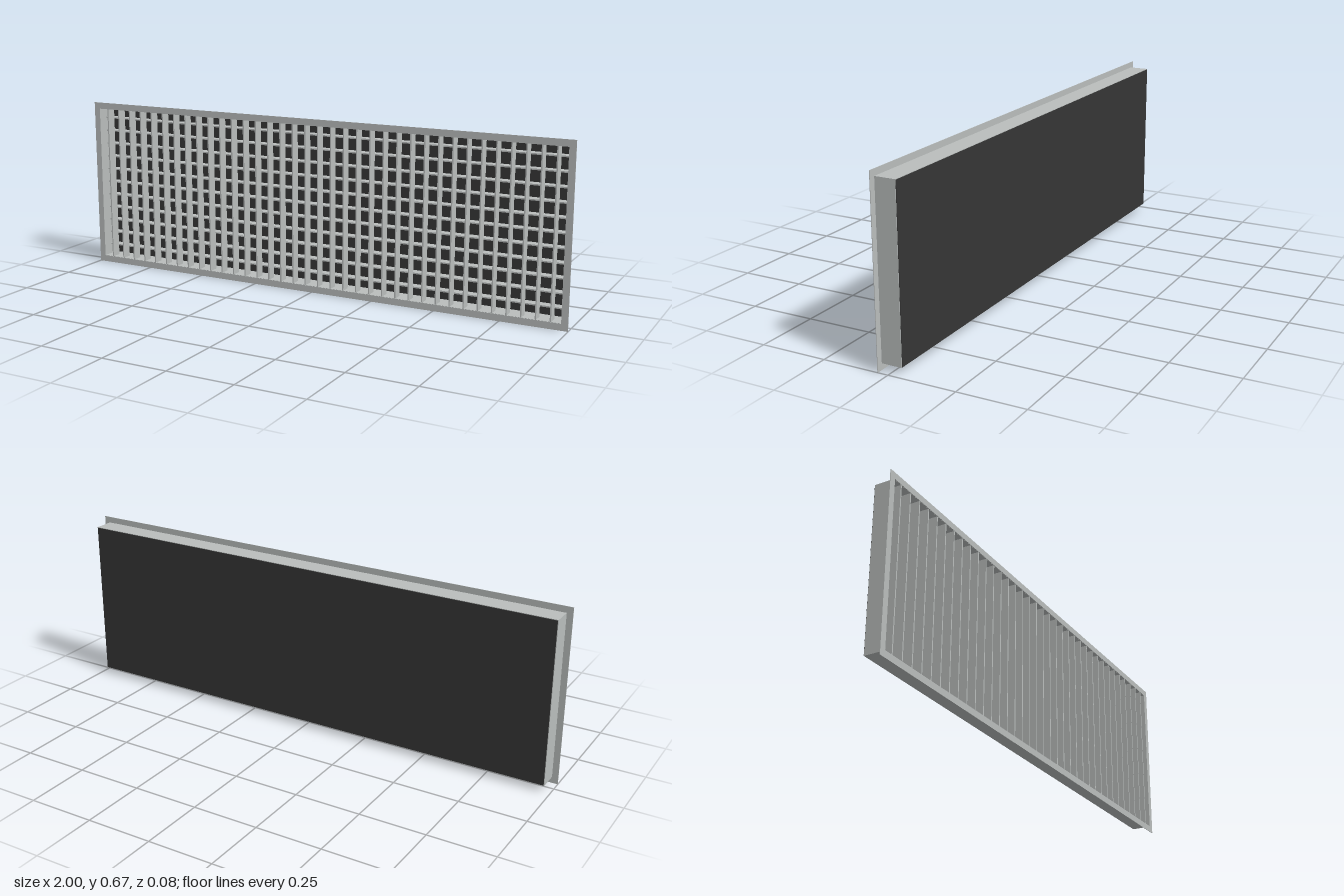
import * as THREE from 'three';

const grey = new THREE.MeshStandardMaterial({ color: 0xbabebd });
grey.name = 'brushed grey';
const dark = new THREE.MeshStandardMaterial({ color: 0x363636 });
dark.name = 'dark backing';

const MID = 0.3335; // height of the centre line
const PITCH = 0.0535; // spacing of the blades
const BLADE = 0.005; // blade thickness

function rect(Type, w, h) {
  const x = w / 2, y = h / 2;
  return new Type([
    new THREE.Vector2(-x, -y), new THREE.Vector2(x, -y),
    new THREE.Vector2(x, y), new THREE.Vector2(-x, y),
  ]);
}

// Rectangular ring extruded from z0 to z1
function ring(name, w, h, innerW, innerH, z0, z1) {
  const shape = rect(THREE.Shape, w, h);
  shape.holes.push(rect(THREE.Path, innerW, innerH));
  const geo = new THREE.ExtrudeGeometry(shape, { depth: z1 - z0, bevelEnabled: false });
  const mesh = new THREE.Mesh(geo, grey);
  mesh.name = name;
  mesh.position.set(0, MID, z0);
  return mesh;
}

function box(name, w, h, d, x, y, z, material) {
  const mesh = new THREE.Mesh(new THREE.BoxGeometry(w, h, d), material);
  mesh.name = name;
  mesh.position.set(x, y, z);
  return mesh;
}

export function createModel() {
  const model = new THREE.Group();
  model.name = 'ventilationGrille';

  // Front flange and the duct collar behind it
  model.add(ring('flange', 2, 0.667, 1.95, 0.617, 0.038, 0.04));
  model.add(ring('collar', 1.954, 0.62, 1.95, 0.616, -0.038, 0.038));

  // Dark plate closing the back
  model.add(box('backPlate', 1.95, 0.616, 0.003, 0, MID, -0.0385, dark));

  // Upright blades in front
  const uprights = new THREE.Group();
  uprights.name = 'verticalBlades';
  for (let i = 0; i < 36; i++) {
    uprights.add(box('verticalBlade', BLADE, 0.616, 0.038, (i - 17.5) * PITCH, MID, 0.019, grey));
  }
  model.add(uprights);

  // Level blades behind them
  const levels = new THREE.Group();
  levels.name = 'horizontalBlades';
  for (let i = -5; i <= 5; i++) {
    levels.add(box('horizontalBlade', 1.95, BLADE, 0.035, 0, MID + i * PITCH, -0.0185, grey));
  }
  model.add(levels);

  return model;
}
